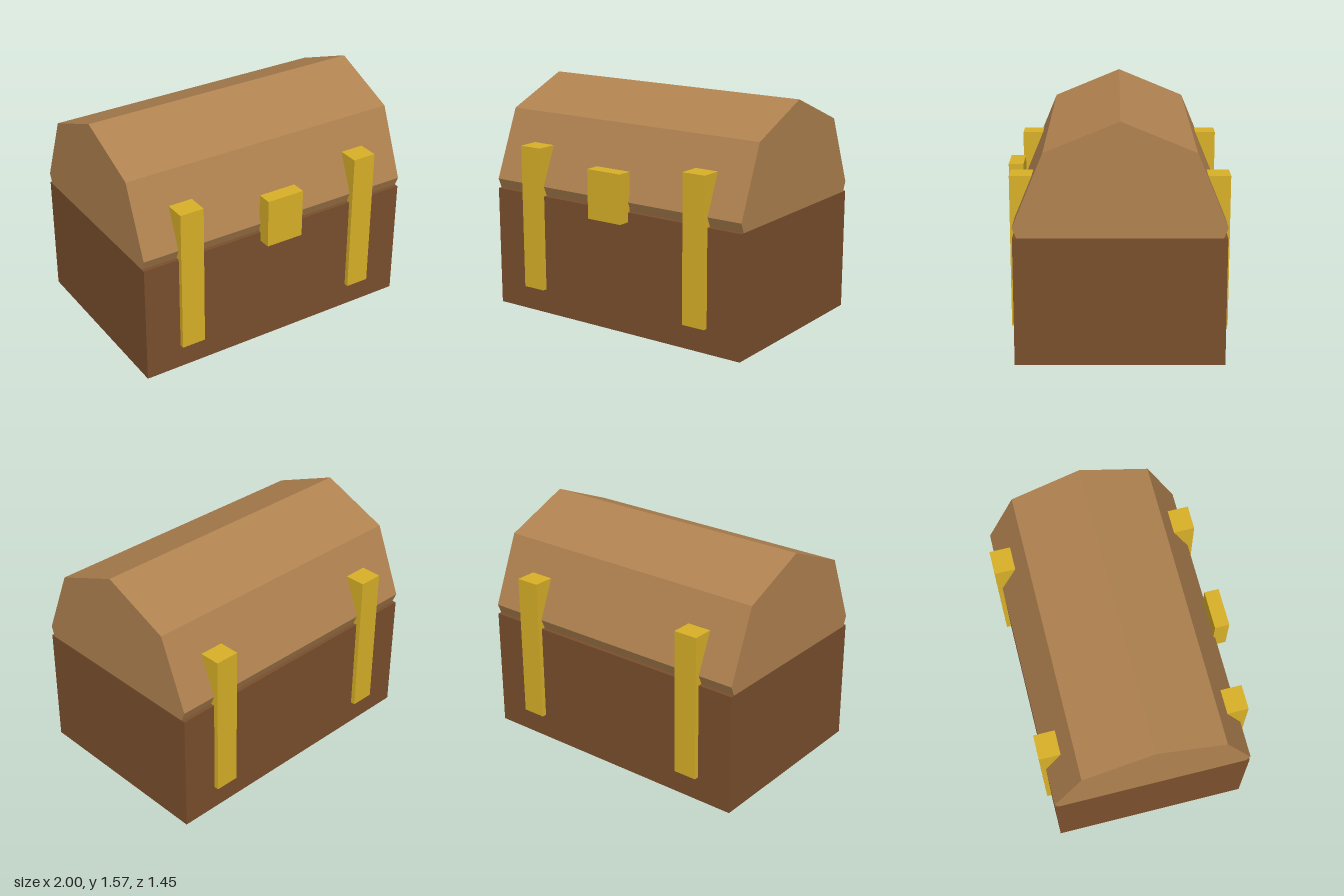
import * as THREE from 'three';

const material = (color) => new THREE.MeshStandardMaterial({ color, flatShading: true });

export function createModel() {
  const group = new THREE.Group();
  group.name = 'chest';
  const darkWood = material(0x7a4f2d);
  const lightWood = material(0xb08250);
  const gold = material(0xd8b028);

  const midZ = -0.025; // the lock at the front shifts the body back a little

  const add = (name, geometry, mat, x, y, z) => {
    const mesh = new THREE.Mesh(geometry, mat);
    mesh.name = name;
    mesh.position.set(x, y, z);
    group.add(mesh);
    return mesh;
  };

  // Wooden body
  add('body', new THREE.BoxGeometry(2, 0.833, 1.333), darkWood, 0, 0.4165, midZ);

  // Eight-sided barrel lid, lower half sunk in the body (a hair shorter so the ends do not flicker)
  const lid = new THREE.CylinderGeometry(0.667, 0.667, 1.998, 8).rotateZ(Math.PI / 2);
  add('lid', lid, lightWood, 0, 0.9, midZ);

  // Four metal straps, two in front and two behind
  const strap = new THREE.BoxGeometry(0.167, 1, 0.167);
  for (const side of [1, -1]) {
    const label = side > 0 ? 'left' : 'right';
    add(label + 'FrontStrap', strap, gold, side * 0.667, 0.67, 0.59);
    add(label + 'BackStrap', strap, gold, side * 0.667, 0.67, -0.64);
  }

  // Lock plate
  add('lock', new THREE.BoxGeometry(0.267, 0.333, 0.1), gold, 0, 0.935, 0.675);

  return group;
}
